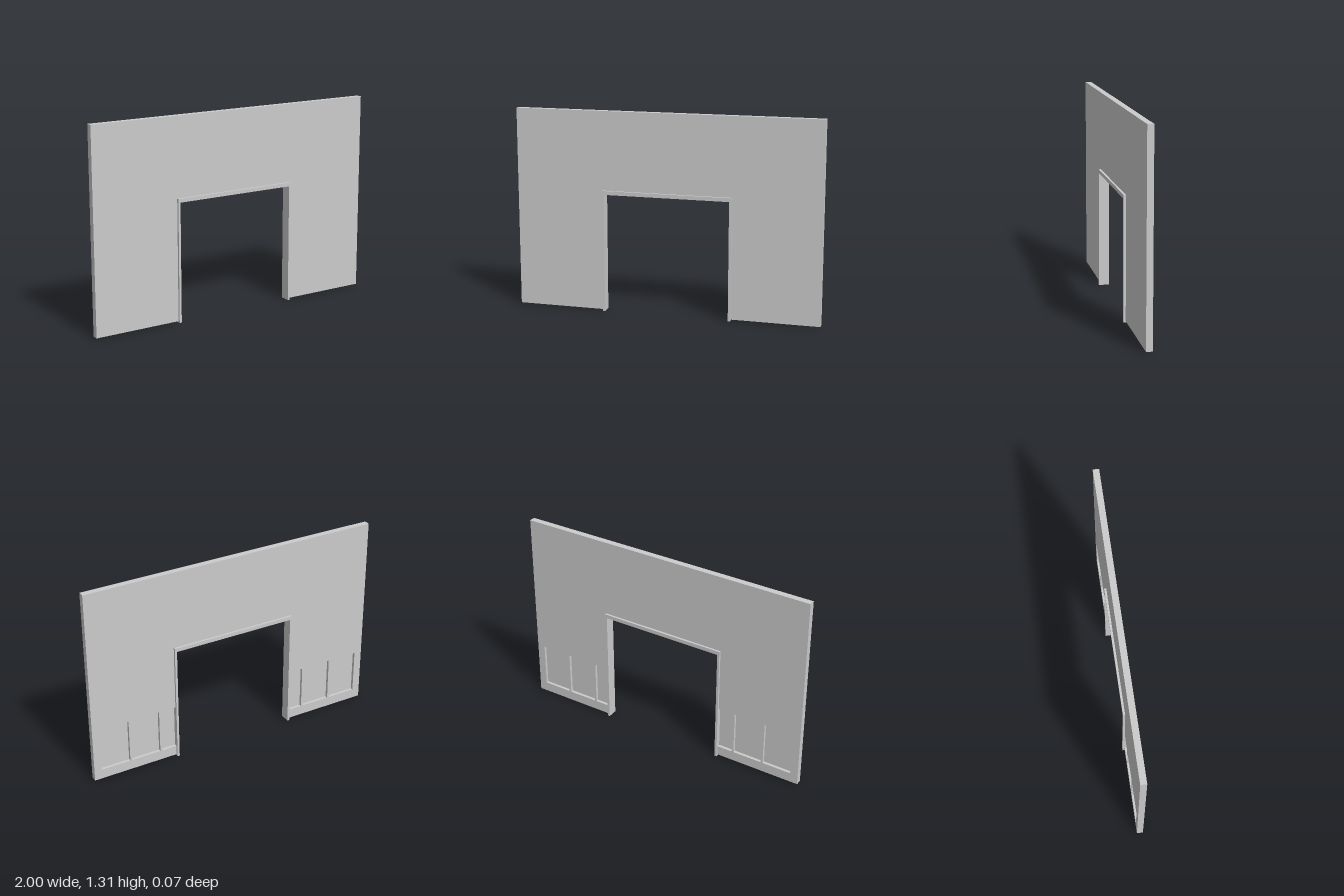
import * as THREE from 'three';

const material = new THREE.MeshStandardMaterial({ color: 0xcccccc, flatShading: true });

// Upside-down U outline: a rectangle with a doorway cut up from its bottom edge
function archShape(halfWidth, bottom, top, halfOpening, openingTop) {
  return new THREE.Shape([
    [-halfWidth, bottom], [-halfOpening, bottom], [-halfOpening, openingTop],
    [halfOpening, openingTop], [halfOpening, bottom], [halfWidth, bottom],
    [halfWidth, top], [-halfWidth, top],
  ].map(([x, y]) => new THREE.Vector2(x, y)));
}

function slab(name, shape, z0, z1) {
  const geometry = new THREE.ExtrudeGeometry(shape, { depth: z1 - z0, bevelEnabled: false });
  geometry.translate(0, 0, z0);
  const mesh = new THREE.Mesh(geometry, material);
  mesh.name = name;
  return mesh;
}

export function createModel() {
  const group = new THREE.Group();
  group.name = 'doorwayWall';

  const wall = { bottom: 0.008, top: 1.313, z: 0.02 };
  const recess = { inner: 0.425, outer: 0.948, bottom: 0.073, top: 0.367, floor: -0.001 };
  const wallShape = () => archShape(1, wall.bottom, wall.top, 0.418, 0.787);

  // Plain front skin
  group.add(slab('frontWall', wallShape(), recess.floor, wall.z));

  // Back skin with an open recess on each side of the doorway
  const backShape = wallShape();
  for (const s of [-1, 1]) {
    backShape.holes.push(new THREE.Path([
      new THREE.Vector2(s * recess.inner, recess.bottom),
      new THREE.Vector2(s * recess.outer, recess.bottom),
      new THREE.Vector2(s * recess.outer, recess.top),
      new THREE.Vector2(s * recess.inner, recess.top),
    ]));
  }
  group.add(slab('backWall', backShape, -wall.z, recess.floor));

  // Upright studs dividing each recess
  const height = recess.top - recess.bottom;
  const depth = wall.z + recess.floor;
  for (const s of [-1, 1]) {
    for (const x of [0.533, 0.745]) {
      const stud = new THREE.Mesh(new THREE.BoxGeometry(0.015, height, depth), material);
      stud.position.set(s * x, recess.bottom + height / 2, recess.floor - depth / 2);
      stud.name = 'recessStud';
      group.add(stud);
    }
  }

  // Door frame standing proud of both wall faces
  group.add(slab('doorFrame', archShape(0.425, 0, 0.8, 0.41, 0.775), -0.034, 0.034));

  return group;
}
